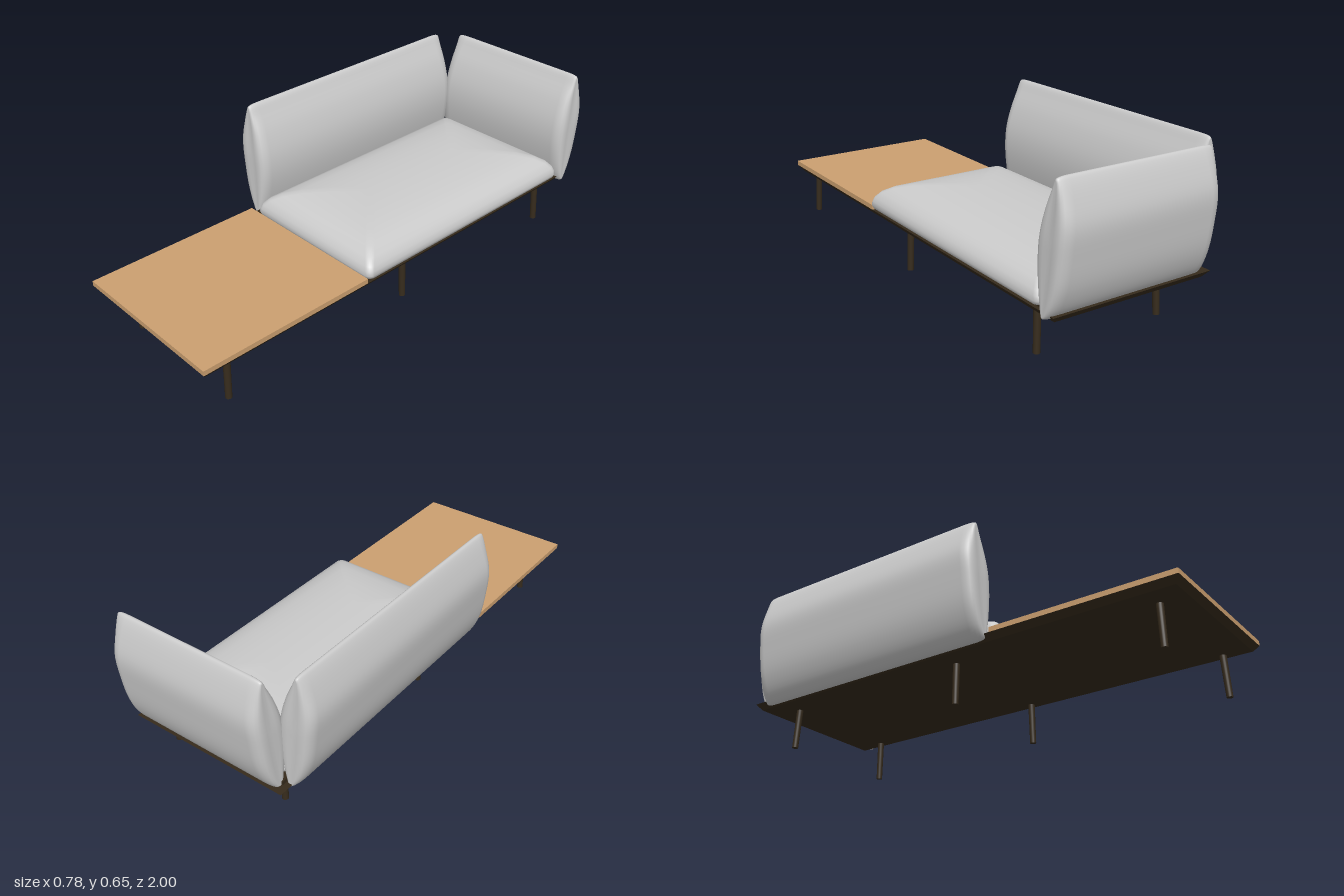
import * as THREE from 'three';

const fabric = new THREE.MeshStandardMaterial({ color: 0xcccccc });
const wood = new THREE.MeshStandardMaterial({ color: 0xcca070 });
const dark = new THREE.MeshStandardMaterial({ color: 0x362b1c });

// Skin a stack of closed rings (counter-clockwise seen from the last ring), with fan caps.
function loft(rings) {
  const n = rings[0].length, pos = [], idx = [];
  rings.forEach(r => r.forEach(p => pos.push(p.x, p.y, p.z)));
  for (let i = 0; i < rings.length - 1; i++) {
    for (let j = 0; j < n; j++) {
      const a = i * n + j, b = i * n + (j + 1) % n;
      idx.push(a, b, a + n, b, b + n, a + n);
    }
  }
  [0, rings.length - 1].forEach((k, end) => {
    const c = new THREE.Vector3();
    rings[k].forEach(p => c.addScaledVector(p, 1 / n));
    const ci = pos.length / 3;
    pos.push(c.x, c.y, c.z);
    for (let j = 0; j < n; j++) {
      const a = k * n + j, b = k * n + (j + 1) % n;
      if (end) idx.push(ci, a, b); else idx.push(ci, b, a);
    }
  });
  const g = new THREE.BufferGeometry();
  g.setAttribute('position', new THREE.Float32BufferAttribute(pos, 3));
  g.setIndex(idx);
  g.computeVertexNormals();
  return g;
}

// Upright pillow running along z; its outer side faces -x.
function pillow(half) {
  const outline = [
    [-0.010, 0.649], [-0.020, 0.650], [-0.029, 0.640], [-0.052, 0.585], [-0.073, 0.500],
    [-0.066, 0.400], [-0.047, 0.290], [-0.015, 0.212], [0.016, 0.175], [0.030, 0.171],
    [0.042, 0.188], [0.060, 0.250], [0.075, 0.360], [0.070, 0.450], [0.045, 0.540], [0.012, 0.610],
  ].map(([x, y]) => new THREE.Vector3(x, y, 0));
  const pts = new THREE.CatmullRomCurve3(outline, true).getPoints(72).slice(0, -1);
  // inset from the end, thickness scale, height scale
  const end = [[0, 0.3, 0.95], [0, 0.55, 0.965], [0.004, 0.72, 0.98], [0.012, 0.85, 0.99],
    [0.026, 0.95, 0.997], [0.045, 1, 1]];
  const ring = ([d, s, h], side) => {
    const r = pts.map(p => {
      const mid = -0.015 + 0.083 * (0.65 - p.y);
      const taper = 0.012 * THREE.MathUtils.smoothstep(p.y, 0.42, 0.68);
      return new THREE.Vector3(mid + (p.x - mid) * s, 0.41 + (p.y - 0.41) * h, side * (half - d - taper));
    });
    return r.reverse();
  };
  const rings = [...end.map(e => ring(e, -1)), ...[...end].reverse().map(e => ring(e, 1))];
  // outline order is counter-clockwise, so undo the reversal for +z stacking
  return loft(rings.map(r => r.reverse()));
}

// Domed seat: rounded rectangles that shrink as they rise.
function seatGeometry(hx, hz) {
  const steps = [[0.02, 0.2], [0.005, 0.204], [0, 0.218], [0.003, 0.234], [0.01, 0.251], [0.03, 0.274],
    [0.065, 0.295], [0.12, 0.311], [0.2, 0.321], [0.27, 0.3245], [0.31, 0.325]];
  return loft(steps.map(([inset, y]) => {
    const a = hx - inset, b = hz - inset, r = Math.min(0.025, a * 0.5), ring = [];
    [[1, 1], [-1, 1], [-1, -1], [1, -1]].forEach(([sx, sz], q) => {
      for (let i = 0; i <= 6; i++) {
        const t = (q + i / 6) * Math.PI / 2;
        ring.push(new THREE.Vector3(sx * (a - r) + r * Math.cos(t), y, -(sz * (b - r) + r * Math.sin(t))));
      }
    });
    return ring;
  }));
}

export function createModel() {
  const model = new THREE.Group();
  const add = (name, geometry, material, x, y, z) => {
    const m = new THREE.Mesh(geometry, material);
    m.name = name;
    m.position.set(x, y, z);
    model.add(m);
    return m;
  };

  // Platform with a bevelled underside
  const slab = new THREE.BoxGeometry(0.68, 0.025, 1.94);
  const p = slab.attributes.position;
  for (let i = 0; i < p.count; i++) {
    if (p.getY(i) < 0) {
      p.setX(i, p.getX(i) - Math.sign(p.getX(i)) * 0.02);
      p.setZ(i, p.getZ(i) - Math.sign(p.getZ(i)) * 0.02);
    }
  }
  slab.computeVertexNormals();
  add('platform', slab, dark, 0.035, 0.1775, 0.03);
  add('seatSupport', new THREE.BoxGeometry(0.64, 0.016, 1.16), dark, 0.04, 0.197, -0.32);

  // Wooden side table
  add('tableTop', new THREE.BoxGeometry(0.68, 0.02, 0.74), wood, 0.035, 0.2, 0.63);

  // Cushions
  add('seatCushion', seatGeometry(0.325, 0.566), fabric, 0.06, 0, -0.304);
  add('sideCushion', pillow(0.56), fabric, -0.32, 0, -0.321);
  add('backCushion', pillow(0.333), fabric, 0.058, 0, -0.927).rotation.y = -Math.PI / 2;

  // Three pairs of slightly splayed legs
  for (const [z, splay] of [[0.878, 1], [0.03, 0], [-0.798, -1]]) {
    for (const side of [-1, 1]) {
      const leg = add('leg', new THREE.CylinderGeometry(0.0135, 0.0125, 0.17, 20), dark,
        0.069 + side * 0.261, 0.085, z);
      leg.rotation.set(-splay * 0.04, 0, side * 0.035);
    }
  }
  return model;
}
